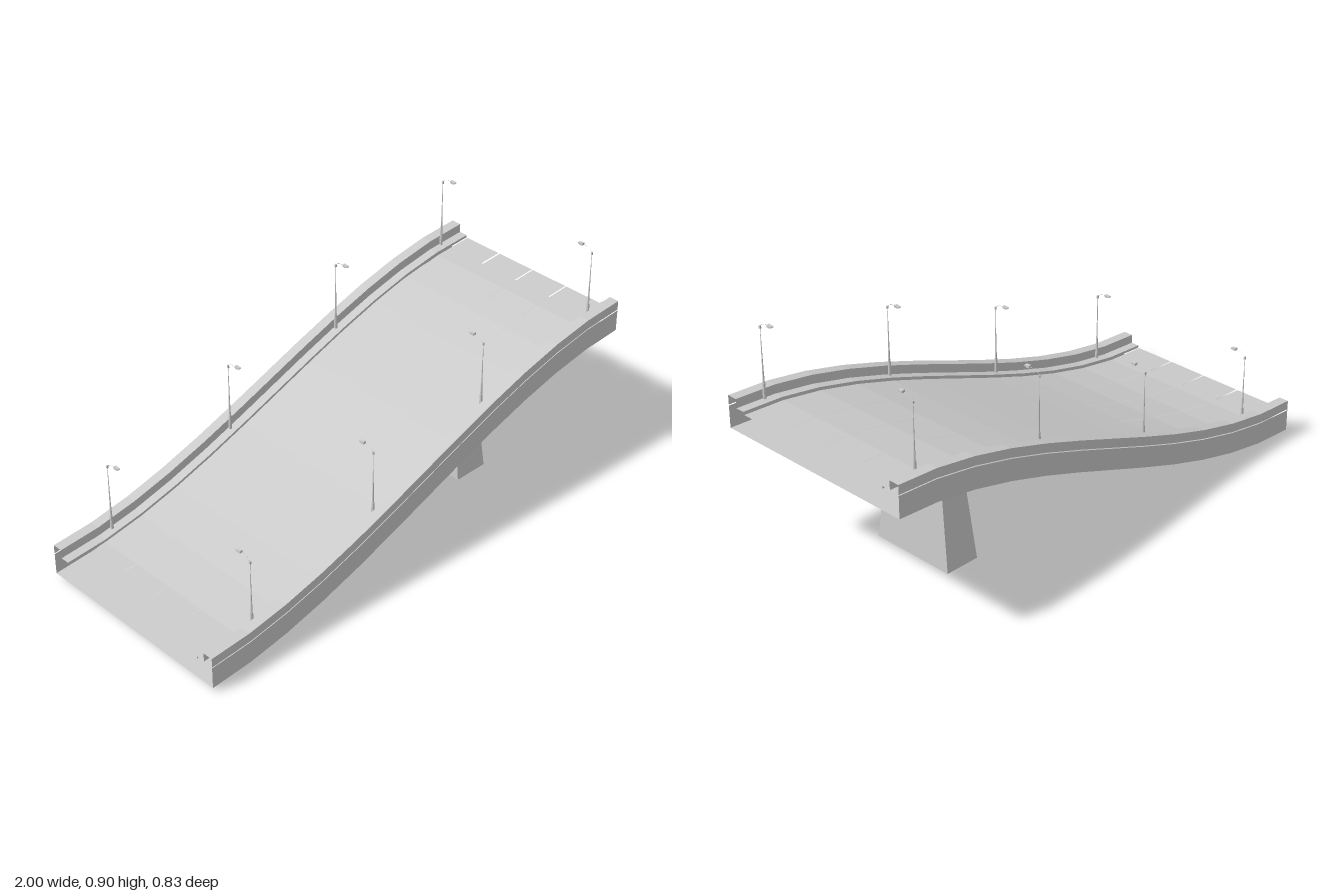
import * as THREE from 'three';

const SEGMENTS = 12;
const material = new THREE.MeshStandardMaterial({ color: 0xcccccc, flatShading: true, side: THREE.DoubleSide });

// Height of the underside along the ramp: an ease-in, ease-out rise
const rise = (x) => 0.02 + 0.5 * THREE.MathUtils.smoothstep(x, -1, 1);
const station = (i) => -1 + (2 * i) / SEGMENTS;

function addMesh(parent, name, geometry, x = 0, y = 0, z = 0) {
  const mesh = new THREE.Mesh(geometry, material);
  mesh.name = name;
  mesh.position.set(x, y, z);
  parent.add(mesh);
  return mesh;
}

// Sweep an open [z, height] profile along the ramp, between two stations
function sweep(profile, from = 0, to = SEGMENTS) {
  const positions = [], index = [], n = profile.length;
  for (let i = from; i <= to; i++) {
    const x = station(i);
    for (const [z, h] of profile) positions.push(x, rise(x) + h, z);
  }
  for (let i = 0; i < to - from; i++) {
    for (let j = 0; j < n - 1; j++) {
      const a = i * n + j, d = a + 1, b = a + n, c = b + 1;
      index.push(a, d, c, a, c, b);
    }
  }
  const geometry = new THREE.BufferGeometry();
  geometry.setAttribute('position', new THREE.Float32BufferAttribute(positions, 3));
  geometry.setIndex(index);
  geometry.computeVertexNormals();
  return geometry;
}

// Mirror a profile to the other side, keeping its faces outward
const forSide = (profile, side) =>
  side > 0 ? profile : profile.map(([z, h]) => [-z, h]).reverse();

// Four-sided block with separate bottom and top outlines
function taperedBlock(bottomX, bottomZ, topX, topZ, topY) {
  const geometry = new THREE.BoxGeometry(1, 1, 1);
  const p = geometry.attributes.position;
  for (let i = 0; i < p.count; i++) {
    const top = p.getY(i) > 0;
    const sx = Math.sign(p.getX(i)), sz = Math.sign(p.getZ(i));
    p.setXYZ(i, sx * (top ? topX : bottomX), top ? topY(sx) : 0, sz * (top ? topZ : bottomZ));
  }
  geometry.computeVertexNormals();
  return geometry;
}

// Street lamp standing on the kerb, its head reaching over the road
function createLamp() {
  const lamp = new THREE.Group();
  lamp.name = 'streetLamp';
  addMesh(lamp, 'lampBase', new THREE.CylinderGeometry(0.005, 0.0065, 0.06, 8), 0, 0.03, 0);
  addMesh(lamp, 'lampCollar', new THREE.CylinderGeometry(0.0025, 0.0038, 0.055, 8), 0, 0.0875, 0);
  addMesh(lamp, 'lampPost', new THREE.CylinderGeometry(0.0007, 0.0025, 0.15, 8), 0, 0.19, 0);
  addMesh(lamp, 'postCap', new THREE.BoxGeometry(0.006, 0.011, 0.006), 0, 0.269, 0);
  const arm = new THREE.QuadraticBezierCurve3(
    new THREE.Vector3(0, 0.272, 0), new THREE.Vector3(0, 0.289, -0.012), new THREE.Vector3(0, 0.289, -0.045));
  addMesh(lamp, 'lampArm', new THREE.TubeGeometry(arm, 6, 0.0006, 4));
  // Wedge-shaped head, thinner at its tip
  const outline = new THREE.Shape();
  outline.moveTo(0.042, 0.285);
  outline.lineTo(0.052, 0.284);
  outline.lineTo(0.065, 0.288);
  outline.lineTo(0.062, 0.292);
  outline.lineTo(0.042, 0.294);
  const head = new THREE.ExtrudeGeometry(outline, { depth: 0.012, bevelEnabled: false });
  head.translate(0, 0, -0.006);
  head.rotateY(Math.PI / 2);
  addMesh(lamp, 'lampHead', head);
  return lamp;
}

export function createModel() {
  const model = new THREE.Group();
  model.name = 'bridgeRamp';

  // Underside
  addMesh(model, 'underside', sweep([[0.415, 0], [-0.415, 0]]));

  // Four road lanes with narrow slots between them
  const slots = [[-0.34, -0.335], [-0.173, -0.166], [-0.0025, 0.0025], [0.164, 0.169], [0.335, 0.34]];
  for (let i = 0; i < 4; i++) {
    addMesh(model, 'roadLane', sweep([[slots[i][1], 0.08], [slots[i + 1][0], 0.08]]));
  }
  // One slot is closed over a single segment
  addMesh(model, 'slotFill', sweep([[-0.173, 0.08], [-0.166, 0.08]], 10, 11));

  // Kerb, parapet and outer wall on each side
  const parapet = [[0.34, 0.08], [0.34, 0.09], [0.375, 0.09], [0.375, 0.125], [0.415, 0.125], [0.415, 0.089]];
  const wall = [[0.415, 0.085], [0.415, 0]];
  for (const side of [1, -1]) {
    addMesh(model, 'kerbAndParapet', sweep(forSide(parapet, side)));
    addMesh(model, 'outerWall', sweep(forSide(wall, side)));

    for (const x of [-0.78, -0.215, 0.32, 0.885]) {
      const lamp = createLamp();
      lamp.position.set(x, rise(x) + 0.09, side * 0.367);
      if (side < 0) lamp.rotation.y = Math.PI;
      model.add(lamp);
    }
  }

  // Tapered pier, its top cut to the slope of the deck
  const pierX = 0.5;
  addMesh(model, 'pier', taperedBlock(0.071, 0.175, 0.049, 0.12, (s) => rise(pierX + s * 0.049)), pierX);

  return model;
}
